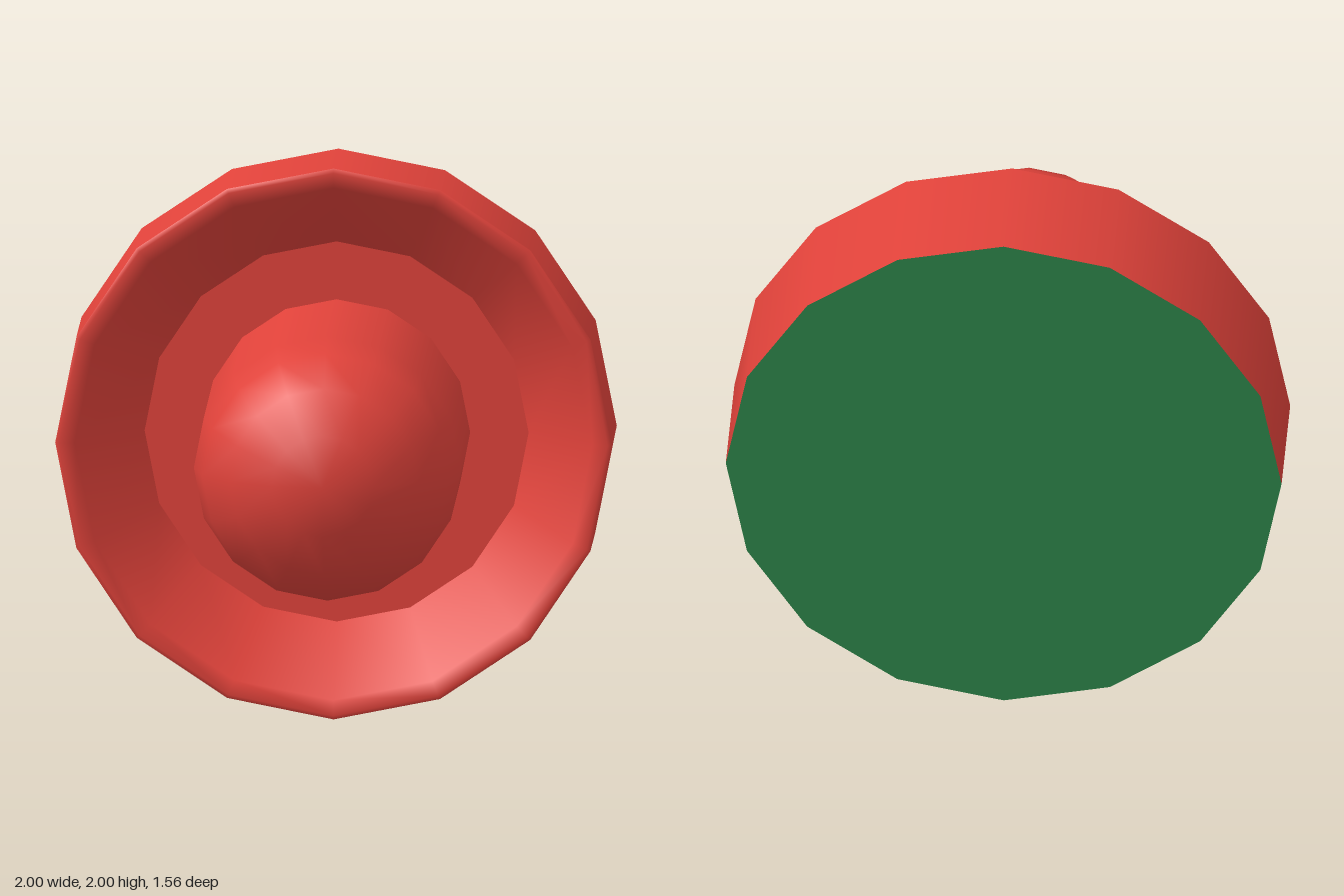
import * as THREE from 'three';

const SIDES = 16;
const BACK = -0.78, FLOOR = -0.6, RIM = -0.28;
const CUP_R = 1, FLOOR_R = 0.69, ROD_R = 0.48, DOME_Z = 0.3;

export function createModel() {
  const model = new THREE.Group();
  model.name = 'domedKnob';

  const red = new THREE.MeshStandardMaterial({ color: 0xe0423a });
  red.name = 'red';
  const green = new THREE.MeshStandardMaterial({ color: 0x2a7d45 });
  green.name = 'green';

  // everything is round about the z axis, at height 1
  const add = (name, geometry, material) => {
    const mesh = new THREE.Mesh(geometry, material);
    mesh.name = name;
    mesh.position.y = 1;
    model.add(mesh);
  };
  // profile points are [radius, z]
  const turned = (profile) =>
    new THREE.LatheGeometry(profile.map(([r, z]) => new THREE.Vector2(r, z)), SIDES).rotateX(Math.PI / 2);

  // cup: straight outer wall, bevelled rim running into the sloped bowl, flat floor
  add('cupOuterWall', turned([[CUP_R, BACK], [CUP_R, RIM - 0.015]]), red);
  add('cupRimAndBowl', turned([[CUP_R, RIM - 0.015], [0.985, RIM], [0.93, RIM - 0.01], [FLOOR_R, FLOOR]]), red);
  add('cupFloor', new THREE.RingGeometry(ROD_R, FLOOR_R, SIDES).translate(0, 0, FLOOR), red);

  // green base disc closing the back
  add('backDisc', new THREE.CircleGeometry(CUP_R, SIDES).rotateY(Math.PI).translate(0, 0, BACK), green);

  // central rod with a hemispherical tip
  add('rod', turned([[ROD_R, FLOOR], [ROD_R, DOME_Z]]), red);
  add('rodDome', new THREE.SphereGeometry(ROD_R, SIDES, 4, 0, Math.PI * 2, 0, Math.PI / 2)
    .rotateX(Math.PI / 2).translate(0, 0, DOME_Z), red);

  return model;
}
